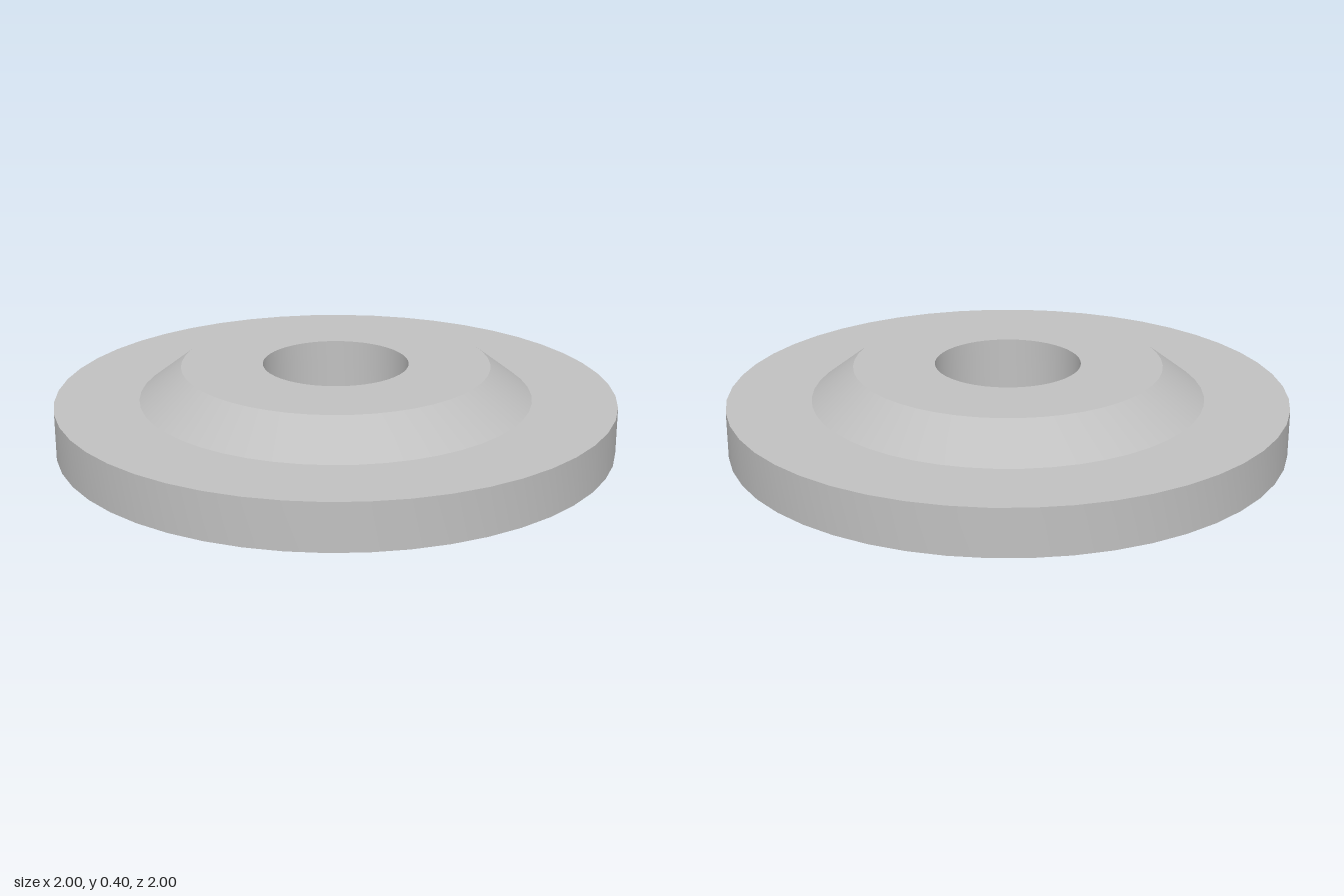
import * as THREE from 'three';
import { toCreasedNormals } from 'three/addons/utils/BufferGeometryUtils.js';

const SIDES = 48;
const BORE = 0.26, HUB = 0.55, HUB_BASE = 0.7, RIM = 1;
const LOW = 0.115, HIGH = 0.283, TOP = 0.398;

export function createModel() {
  const group = new THREE.Group();
  const steel = new THREE.MeshStandardMaterial({ color: 0xc0c0c0 });
  steel.name = 'steel grey';

  // Turns a profile of [radius, height] points, listed counterclockwise, into a crisp-edged part
  const turn = (name, profile) => {
    const points = profile.map(([r, y]) => new THREE.Vector2(r, y));
    const geometry = toCreasedNormals(new THREE.LatheGeometry(points, SIDES), 0.4);
    const mesh = new THREE.Mesh(geometry, steel);
    mesh.name = name;
    group.add(mesh);
  };

  // Conical hub below and above the disc, each with a flat end face
  turn('lowerHub', [[BORE, 0], [HUB, 0], [HUB_BASE, LOW]]);
  turn('upperHub', [[HUB_BASE, HIGH], [HUB, TOP], [BORE, TOP]]);
  // Flat outer disc
  turn('flange', [[HUB_BASE, LOW], [RIM, LOW], [RIM, HIGH], [HUB_BASE, HIGH]]);
  // Through hole, facing the axis
  turn('bore', [[BORE, TOP], [BORE, 0]]);

  return group;
}
